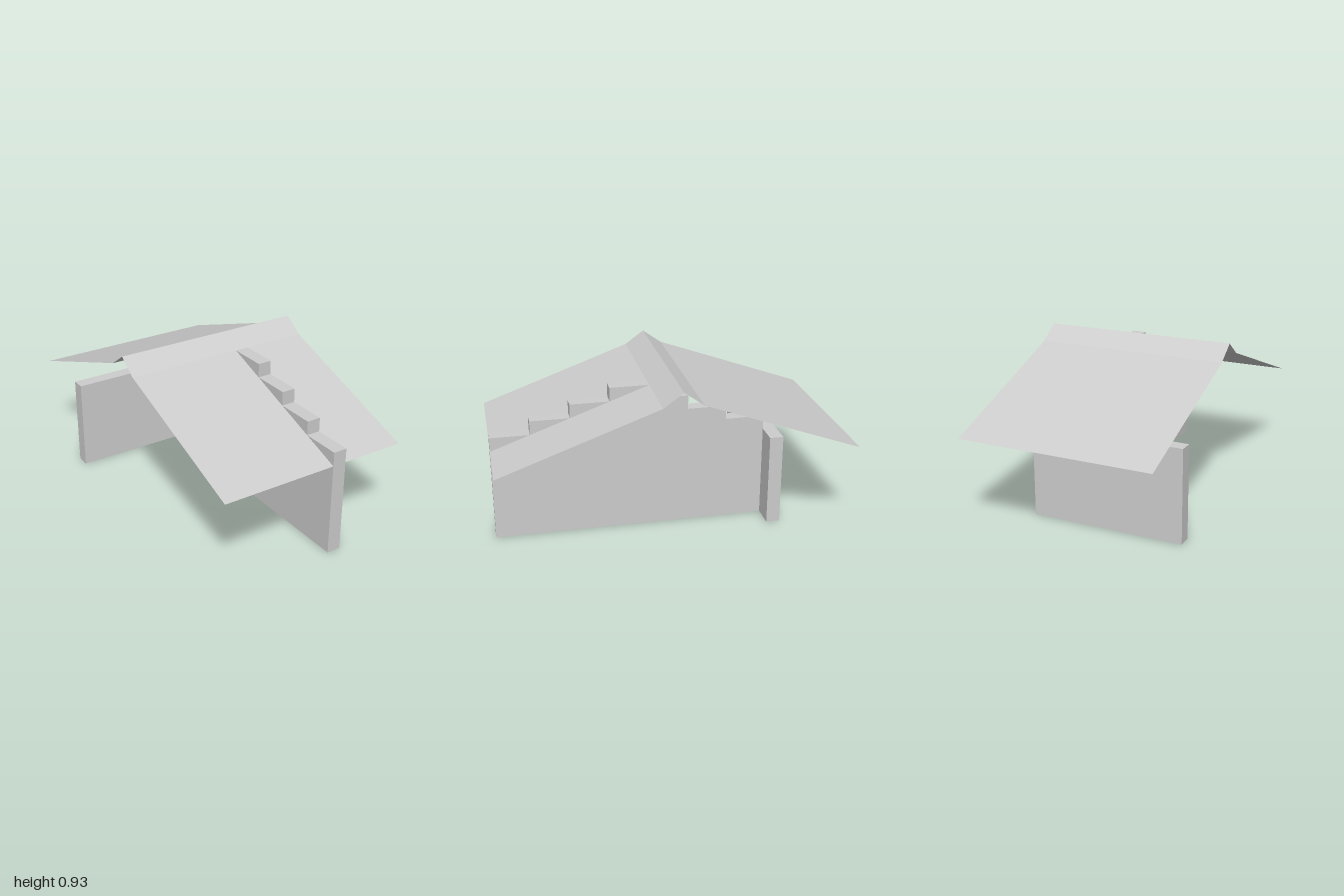
import * as THREE from 'three';

const grey = new THREE.MeshStandardMaterial({ color: 0xcccccc });
grey.name = 'light grey';
const greySheet = new THREE.MeshStandardMaterial({ color: 0xcccccc, side: THREE.DoubleSide });
greySheet.name = 'light grey sheet';

const HALF = 0.555;  // half width of the roof
const EAVE = 0.533, BEND = 0.853, RIDGE = 0.933;

// Flat sheet across the full width, sloping between two (z, y) lines
function roofSheet(name, [z0, y0], [z1, y1]) {
  const dz = z1 - z0, dy = y1 - y0;
  const geo = new THREE.PlaneGeometry(2 * HALF, Math.hypot(dz, dy));
  // tilt so the sheet's face points up and outward
  geo.rotateX(-Math.atan2(Math.abs(dz), dy));
  if (dz > 0) geo.rotateY(Math.PI);
  const sheet = new THREE.Mesh(geo, greySheet);
  sheet.position.set(0, (y0 + y1) / 2, (z0 + z1) / 2);
  sheet.name = name;
  return sheet;
}

export function createModel() {
  const model = new THREE.Group();
  model.name = 'steppedWallShelter';

  // Long wall with a stepped top, drawn in (z, y) and extruded along x
  const step = 2 / 9, rise = 0.08, top = 0.853;
  const shape = new THREE.Shape();
  shape.moveTo(1, 0);
  for (let i = 0; i < 7; i++) {
    const y = top - rise * Math.abs(3 - i);
    shape.lineTo(1 - i * step, y);
    shape.lineTo(1 - (i + 1) * step, y);
  }
  shape.lineTo(1 - 7 * step, 0);
  const wallGeo = new THREE.ExtrudeGeometry(shape, { depth: 0.08, bevelEnabled: false });
  wallGeo.rotateY(-Math.PI / 2);   // shape x becomes z, depth runs to -x
  const steppedWall = new THREE.Mesh(wallGeo, grey);
  steppedWall.position.x = 0.19;
  steppedWall.name = 'steppedWall';
  model.add(steppedWall);

  // Cross wall at the back end
  const backWall = new THREE.Mesh(new THREE.BoxGeometry(0.885, EAVE, 0.078), grey);
  backWall.position.set(-0.1125, EAVE / 2, -0.594);
  backWall.name = 'backWall';
  model.add(backWall);

  // Roof slopes and the steeper strips that meet at the ridge
  const roof = new THREE.Group();
  roof.name = 'roof';
  for (const [side, s] of [['front', 1], ['back', -1]]) {
    roof.add(roofSheet(side + 'Slope', [s, EAVE], [s * 0.111, BEND]));
    roof.add(roofSheet(side + 'RidgeStrip', [s * 0.111, BEND], [0, RIDGE]));
  }
  model.add(roof);
  return model;
}
